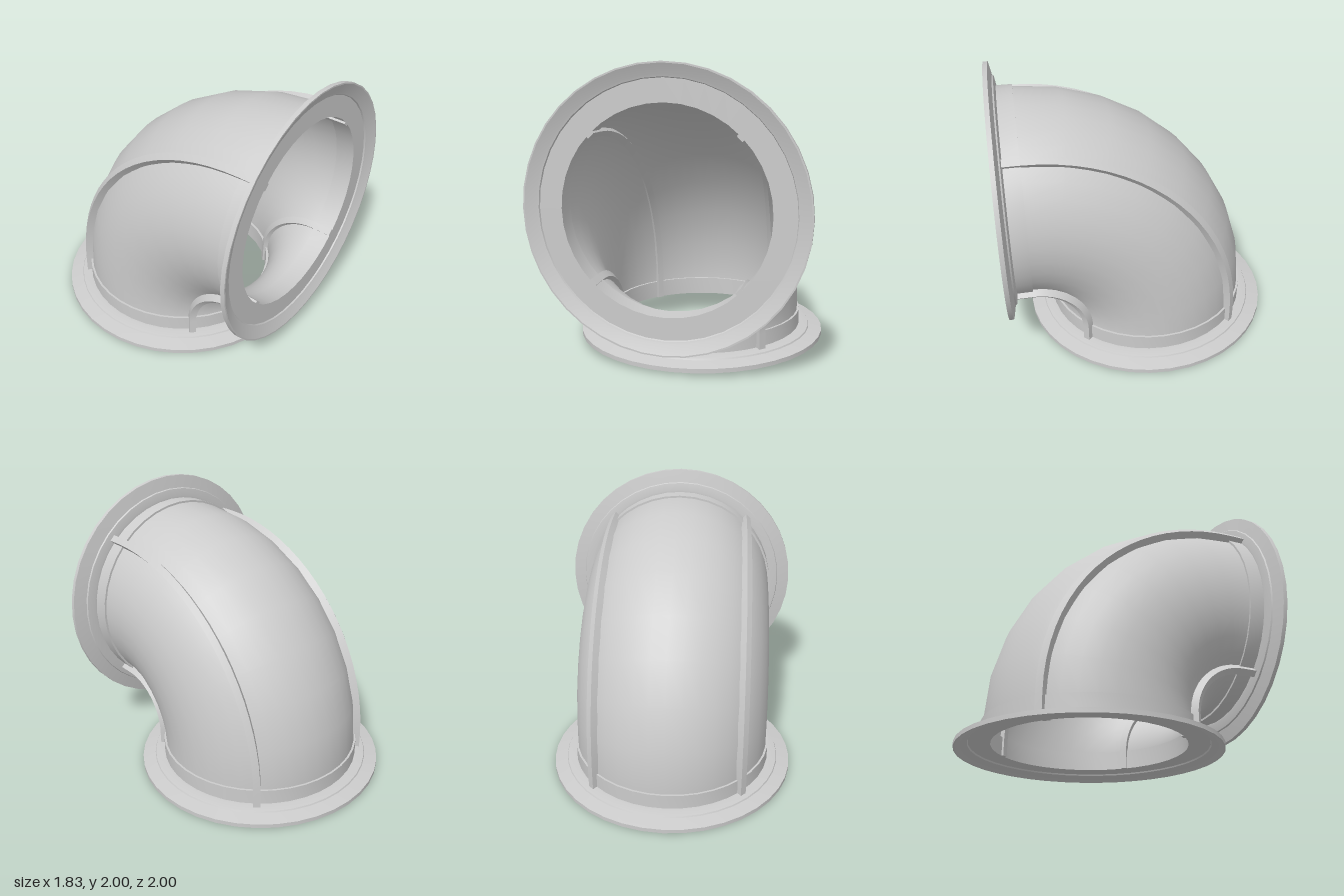
import * as THREE from 'three';
import { toCreasedNormals } from 'three/addons/utils/BufferGeometryUtils.js';

const R = 0.905;        // bend radius of the pipe axis
const PY = 0.18;        // bend pivot
const PZ = 0.82;
const FACE = 0.045;     // depth of the recessed flange face

const grey = (side = THREE.FrontSide) => new THREE.MeshStandardMaterial({ color: 0xcccccc, side });

function named(geometry, material, name) {
  const mesh = new THREE.Mesh(geometry, material);
  mesh.name = name;
  return mesh;
}

// Quarter-torus wall lying in the yz plane around the pivot
function bend(radius) {
  return new THREE.TorusGeometry(R, radius, 40, 8, Math.PI / 2)
    .rotateY(Math.PI / 2).translate(0, PY, PZ);
}

// Dished flange with its collar, turned about y
function flange() {
  const profile = [
    [0.672, FACE], [0.82, FACE], [0.825, 0.035], [0.84, 0.03], [0.905, 0], [0.915, 0],
    [0.915, 0.03], [0.82, 0.05], [0.815, 0.06], [0.76, 0.07], [0.745, 0.07],
    [0.745, 0.18], [0.672, 0.18], [0.672, FACE],
  ].map(([x, y]) => new THREE.Vector2(x, y));
  return toCreasedNormals(new THREE.LatheGeometry(profile, 40), 0.4);
}

// Square bar swept along the bend at one angle round the pipe wall
function rib(angle) {
  const rIn = 0.655, rOut = 0.78, half = 0.025;
  const c = Math.cos(angle), s = Math.sin(angle);
  const section = [[rIn, -half], [rOut, -half], [rOut, half], [rIn, half]]
    .map(([r, w]) => [r * c - w * s, r * s + w * c]);

  // stations: bend angle, then extra y and z for the straight ends
  const steps = 20;
  const stations = [[0, FACE - PY, 0]];
  for (let i = 0; i <= steps; i++) stations.push([(i / steps) * Math.PI / 2, 0, 0]);
  stations.push([Math.PI / 2, 0, 1 - FACE - PZ]);

  const positions = [], index = [];
  for (const [t, dy, dz] of stations) {
    for (const [a, b] of section) {
      positions.push(a, PY + (R + b) * Math.sin(t) + dy, PZ - (R + b) * Math.cos(t) + dz);
    }
  }
  const last = (stations.length - 1) * 4;
  for (let i = 0; i < last; i += 4) {
    for (let j = 0; j < 4; j++) {
      const p = i + j, q = i + (j + 1) % 4;
      index.push(p, q, q + 4, p, q + 4, p + 4);
    }
  }
  index.push(0, 2, 1, 0, 3, 2, last, last + 1, last + 2, last, last + 2, last + 3);

  const geometry = new THREE.BufferGeometry();
  geometry.setAttribute('position', new THREE.Float32BufferAttribute(positions, 3));
  geometry.setIndex(index);
  return toCreasedNormals(geometry, 0.5);
}

export function createModel() {
  const model = new THREE.Group();
  model.name = 'pipeElbow';

  // Pipe walls
  model.add(named(bend(0.73), grey(), 'outerPipeWall'));
  model.add(named(bend(0.69), grey(THREE.BackSide), 'innerPipeWall'));

  // Flanges at both openings
  const flangeGeometry = flange();
  const bottom = named(flangeGeometry, grey(), 'bottomFlange');
  bottom.position.z = PZ - R;
  const front = named(flangeGeometry, grey(), 'frontFlange');
  front.rotation.x = -Math.PI / 2;
  front.position.set(0, PY + R, 1);
  model.add(bottom, front);

  // Four ribs running through the wall
  const names = ['outerLeftRib', 'outerRightRib', 'innerRightRib', 'innerLeftRib'];
  names.forEach((name, i) => {
    model.add(named(rib(Math.PI / 4 + i * Math.PI / 2), grey(), name));
  });

  return model;
}
